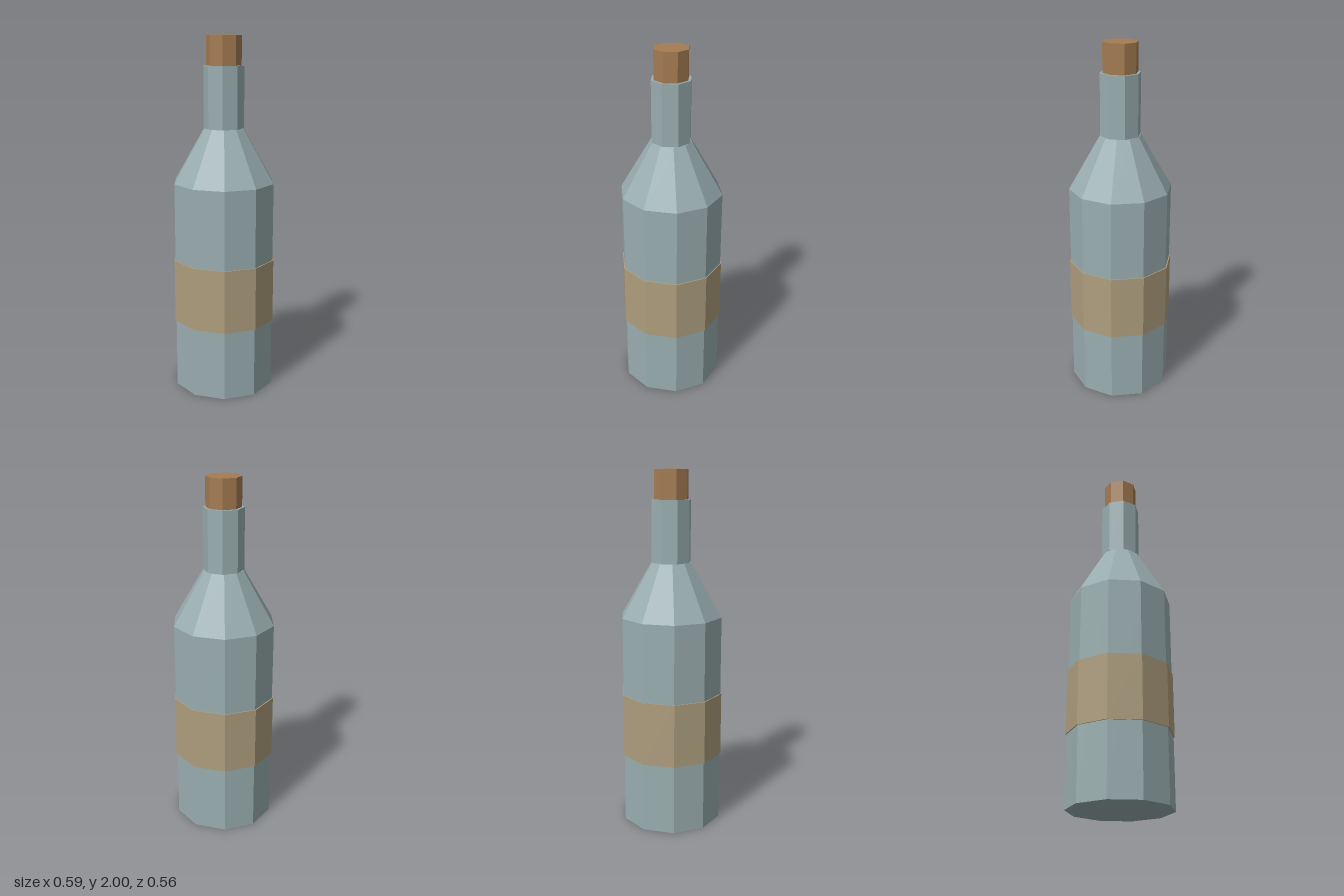
import * as THREE from 'three';

const paint = (name, color) => {
  const m = new THREE.MeshStandardMaterial({ color, flatShading: true });
  m.name = name;
  return m;
};

export function createModel() {
  const bottle = new THREE.Group();
  bottle.name = 'bottle';

  const glass = paint('grey blue glass', 0x9aaeb0);
  const paper = paint('tan paper', 0xae9e7e);
  const corkBrown = paint('cork brown', 0xa57c52);

  // One faceted ring section standing between two heights
  const section = (name, material, rBottom, rTop, y0, y1, sides, start) => {
    const geometry = new THREE.CylinderGeometry(rTop, rBottom, y1 - y0, sides, 1, false, start);
    geometry.translate(0, (y0 + y1) / 2, 0);
    const mesh = new THREE.Mesh(geometry, material);
    mesh.name = name;
    bottle.add(mesh);
  };

  // Ten-sided body with corners on the x axis
  const corner = Math.PI / 2;
  section('body', glass, 0.288, 0.288, 0, 1.2, 10, corner);
  section('shoulder', glass, 0.288, 0.113, 1.2, 1.5, 10, corner);
  section('label', paper, 0.294, 0.294, 0.4, 0.76, 10, corner);

  // Eight-sided neck and cork with flats facing front and sides
  const flat = Math.PI / 8;
  section('neck', glass, 0.112, 0.112, 1.5, 1.84, 8, flat);
  section('cork', corkBrown, 0.097, 0.097, 1.8, 2, 8, flat);

  return bottle;
}
